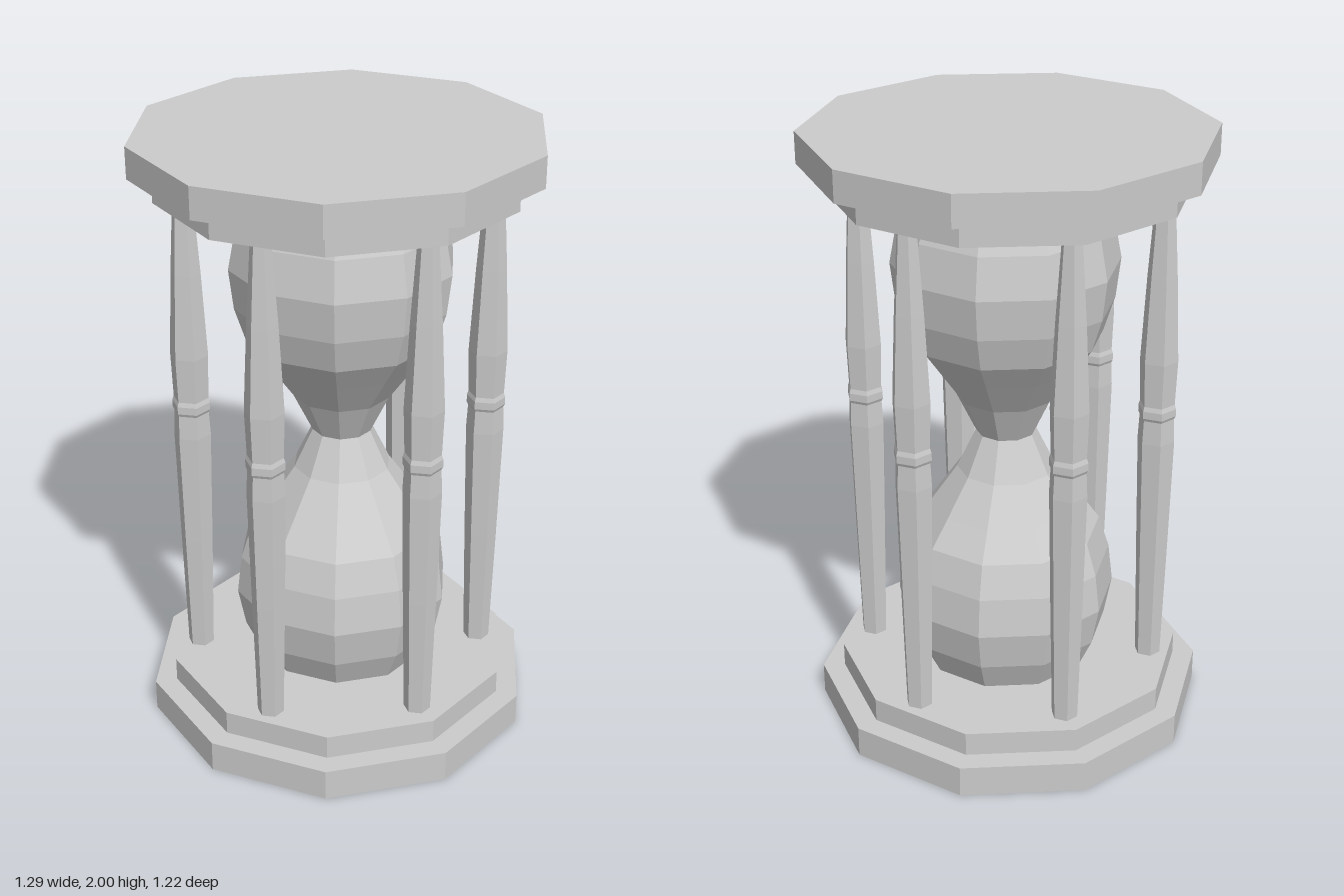
import * as THREE from 'three';

const material = new THREE.MeshStandardMaterial({ color: 0xcccccc, flatShading: true });

// Faceted turned part from [radius, y] pairs, with one corner facing +x
function turned(name, profile, sides) {
  const points = profile.map(([r, y]) => new THREE.Vector2(r, y));
  const mesh = new THREE.Mesh(new THREE.LatheGeometry(points, sides, Math.PI / 2), material);
  mesh.name = name;
  return mesh;
}

// Ten-sided slab between two heights
function plate(name, radius, y0, y1) {
  const geometry = new THREE.CylinderGeometry(radius, radius, y1 - y0, 10, 1, false, Math.PI / 2);
  const mesh = new THREE.Mesh(geometry, material);
  mesh.position.y = (y0 + y1) / 2;
  mesh.name = name;
  return mesh;
}

export function createModel() {
  const model = new THREE.Group();
  model.name = 'hourglass';

  // Stepped base and matching lid
  model.add(
    plate('basePlate', 0.643, 0, 0.105),
    plate('baseStep', 0.57, 0.105, 0.185),
    plate('lidStep', 0.57, 1.82, 1.9),
    plate('lidPlate', 0.643, 1.9, 2)
  );

  // Glass: lower bulb profile mirrored about the neck
  const lower = [[0.285, 0.18], [0.335, 0.29], [0.36, 0.42], [0.345, 0.55], [0.31, 0.66],
    [0.245, 0.75], [0.16, 0.87]];
  const upper = lower.map(([r, y]) => [r, 2 - y]).reverse();
  const glass = turned('glassBulbs', [...lower, [0.098, 1], ...upper], 10);
  glass.position.x = 0.015;
  model.add(glass);

  // Six posts around the glass, each with a small ring above the middle
  const postProfile = [[0.043, 0.18], [0.053, 0.6], [0.061, 0.99], [0.057, 1.07], [0.062, 1.08],
    [0.062, 1.105], [0.057, 1.12], [0.062, 1.27], [0.048, 1.55], [0.03, 1.825]];
  for (let i = 0; i < 6; i++) {
    const angle = THREE.MathUtils.degToRad(-12 + i * 60);
    const post = turned('post' + (i + 1), postProfile, 6);
    post.position.set(0.475 * Math.cos(angle), 0, 0.475 * Math.sin(angle));
    model.add(post);
  }

  return model;
}
